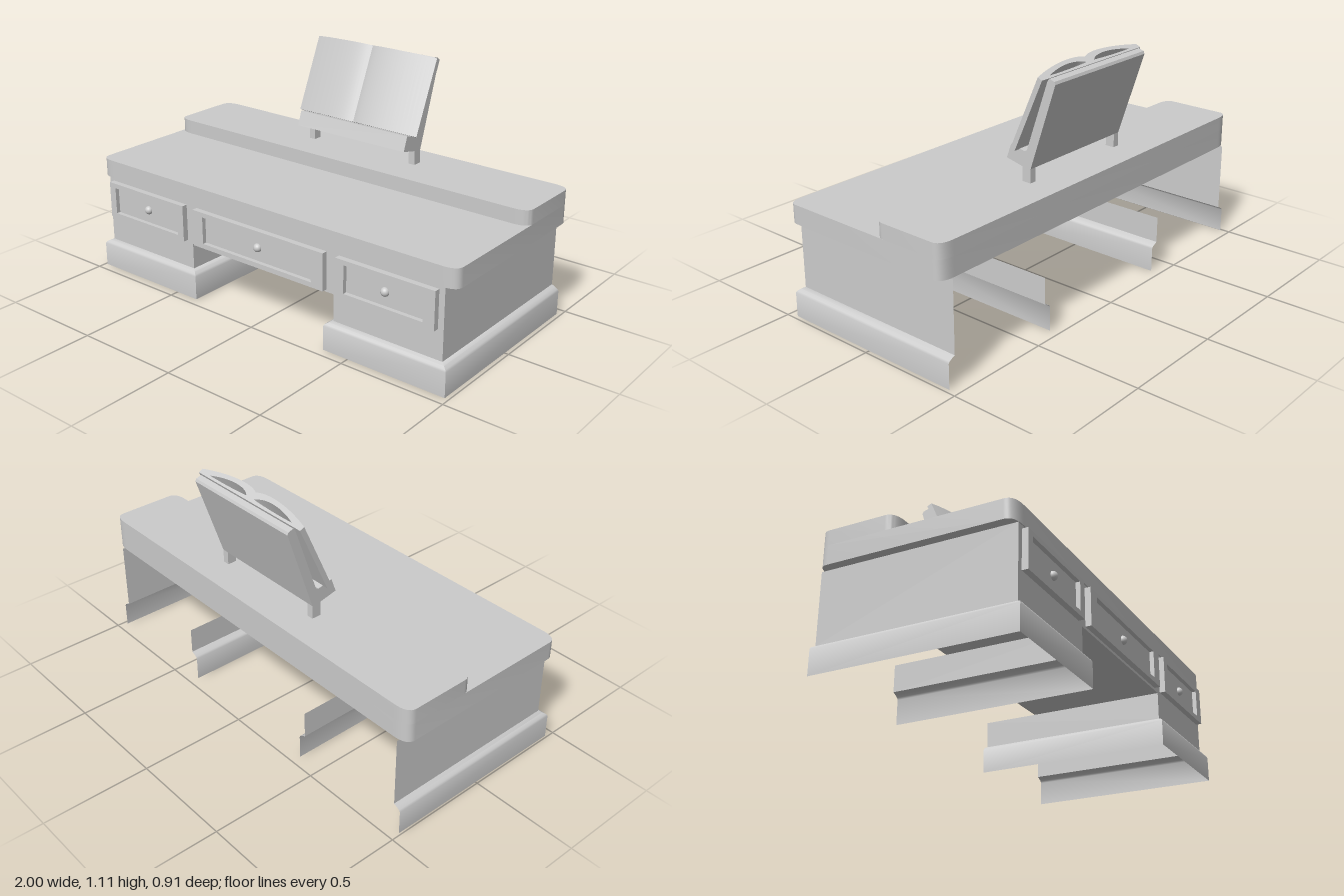
import * as THREE from 'three';
import { toCreasedNormals } from 'three/addons/utils/BufferGeometryUtils.js';

const solid = new THREE.MeshStandardMaterial({ color: 0xcccccc });
const thin = new THREE.MeshStandardMaterial({ color: 0xcccccc, side: THREE.DoubleSide });

function add(parent, name, geometry, material = solid) {
  const mesh = new THREE.Mesh(geometry, material);
  mesh.name = name;
  parent.add(mesh);
  return mesh;
}

const polygon = (points) => new THREE.Shape(points.map(([x, y]) => new THREE.Vector2(x, y)));
const rect = (x0, x1, y0, y1) => [[x0, y0], [x1, y0], [x1, y1], [x0, y1]];

function extrude(shape, depth, curveSegments = 10) {
  const geo = new THREE.ExtrudeGeometry(shape, { depth, bevelEnabled: false, curveSegments });
  return toCreasedNormals(geo, 0.6);
}

// Horizontal board with softly rounded corners
function board(z0, z1, y0, y1) {
  const rx = 0.075, rz = 0.045, a = -z1, b = -z0;
  const s = new THREE.Shape();
  s.moveTo(-1 + rx, a);
  s.lineTo(1 - rx, a);
  s.quadraticCurveTo(1, a, 1, a + rz);
  s.lineTo(1, b - rz);
  s.quadraticCurveTo(1, b, 1 - rx, b);
  s.lineTo(-1 + rx, b);
  s.quadraticCurveTo(-1, b, -1, b - rz);
  s.lineTo(-1, a + rz);
  s.quadraticCurveTo(-1, a, -1 + rx, a);
  return extrude(s, y1 - y0).rotateX(-Math.PI / 2).translate(0, y0, 0);
}

const BACK = -0.455, FRONT = 0.43, TRIM_TOP = 0.137, APRON = 0.26, TOP = 0.46;

// Plinth moulding around three sides of a pedestal, open at the back
function plinth(xLeft, xRight) {
  const levels = [[1, 0], [1, 0.113], [0.85, 0.122], [0.45, 0.13], [0, TRIM_TOP]];
  const pos = [], index = [];
  for (const [d, y] of levels) {
    const l = xLeft - d * 0.034, r = xRight + d * 0.034, f = FRONT + d * 0.027;
    pos.push(l, y, BACK, l, y, f, r, y, f, r, y, BACK);
  }
  for (let i = 0; i < levels.length - 1; i++) {
    for (let j = 0; j < 3; j++) {
      const a = i * 4 + j, b = a + 1, c = a + 4, e = a + 5;
      index.push(a, b, e, a, e, c);
    }
  }
  const geo = new THREE.BufferGeometry();
  geo.setAttribute('position', new THREE.Float32BufferAttribute(pos, 3));
  geo.setIndex(index);
  return toCreasedNormals(geo, 0.7);
}

// Thin upright wall facing sideways
function sideWall(x, y0, y1) {
  return new THREE.PlaneGeometry(FRONT - BACK, y1 - y0)
    .rotateY(Math.sign(x) * Math.PI / 2)
    .translate(x, (y0 + y1) / 2, (FRONT + BACK) / 2);
}

export function createModel() {
  const model = new THREE.Group();
  model.name = 'desk';

  // Desktop and raised rear shelf
  add(model, 'desktop', board(-0.445, 0.435, TOP, 0.547));
  add(model, 'rearShelf', board(-0.445, -0.09, 0.547, 0.615));

  // Pedestals
  const outerL = -0.957, innerL = -0.412, innerR = 0.405, outerR = 0.947;
  for (const [a, b] of [[outerL, innerL], [innerR, outerR]]) add(model, 'plinth', plinth(a, b), thin);
  for (const x of [outerL, outerR]) add(model, 'outerWall', sideWall(x, TRIM_TOP, TOP), thin);
  for (const x of [innerL, innerR]) add(model, 'innerWall', sideWall(x, TRIM_TOP, APRON), thin);

  // Front wall with drawer openings
  const front = polygon([
    [outerL, TRIM_TOP], [innerL, TRIM_TOP], [innerL, APRON], [innerR, APRON],
    [innerR, TRIM_TOP], [outerR, TRIM_TOP], [outerR, TOP], [outerL, TOP],
  ]);

  // Drawers: raised frame, recessed panel and round knob
  const drawers = [
    [-0.93, -0.443, -0.893, -0.481],
    [-0.38, 0.368, -0.32, 0.305],
    [0.433, 0.92, 0.476, 0.866],
  ];
  const y0 = 0.295, y1 = 0.423;
  for (const [x0, x1, p0, p1] of drawers) {
    const hole = polygon(rect(p0, p1, y0, y1));
    front.holes.push(hole);
    const drawer = new THREE.Group();
    drawer.name = 'drawer';
    const frame = polygon(rect(x0, x1, 0.272, 0.445));
    frame.holes.push(hole);
    add(drawer, 'drawerFrame', extrude(frame, 0.027).translate(0, 0, FRONT));
    const mid = (p0 + p1) / 2;
    add(drawer, 'drawerPanel', new THREE.BoxGeometry(p1 - p0, y1 - y0, 0.006))
      .position.set(mid, (y0 + y1) / 2, 0.434);
    add(drawer, 'knob', new THREE.SphereGeometry(0.02, 20, 14)).position.set(mid, 0.358, 0.437);
    model.add(drawer);
  }
  add(model, 'frontWall', new THREE.ShapeGeometry(front).translate(0, 0, FRONT), thin);

  // Book stand: side profile (z, y) swept across the width, on two feet
  const stand = new THREE.Group();
  stand.name = 'bookStand';
  const sx0 = -0.29, sx1 = 0.321;
  const profile = polygon([
    [-0.174, 0.7], [-0.198, 0.767], [-0.27, 0.75], [-0.283, 0.756], [-0.391, 1.075],
    [-0.4, 1.086], [-0.426, 1.078], [-0.431, 1.066], [-0.304, 0.678], [-0.26, 0.681],
  ].map(([z, y]) => [-z, y]));
  add(stand, 'rest', extrude(profile, sx1 - sx0).rotateY(Math.PI / 2).translate(sx0, 0, 0));
  for (const x of [sx0 + 0.016, sx1 - 0.016]) {
    add(stand, 'foot', new THREE.BoxGeometry(0.032, 0.07, 0.044)).position.set(x, 0.65, -0.282);
  }
  model.add(stand);

  // Open book: two arched halves with a hollow under each arch
  const half = 0.335;
  const pages = new THREE.Shape();
  pages.moveTo(-half, 0);
  pages.lineTo(half, 0);
  pages.lineTo(half, 0.024);
  pages.bezierCurveTo(0.23, 0.058, 0.07, 0.085, 0, 0.05);
  pages.bezierCurveTo(-0.07, 0.085, -0.23, 0.058, -half, 0.024);
  pages.closePath();
  for (const s of [-1, 1]) {
    const hollow = new THREE.Path();
    hollow.moveTo(s * 0.27, 0.013);
    hollow.bezierCurveTo(s * 0.2, 0.04, s * 0.08, 0.06, s * 0.025, 0.018);
    hollow.quadraticCurveTo(s * 0.14, 0.01, s * 0.27, 0.013);
    pages.holes.push(hollow);
  }
  const book = add(model, 'openBook', extrude(pages, 0.36, 18));
  book.rotation.x = 1.157;
  book.position.set(0.018, 1.083, -0.389);

  return model;
}
